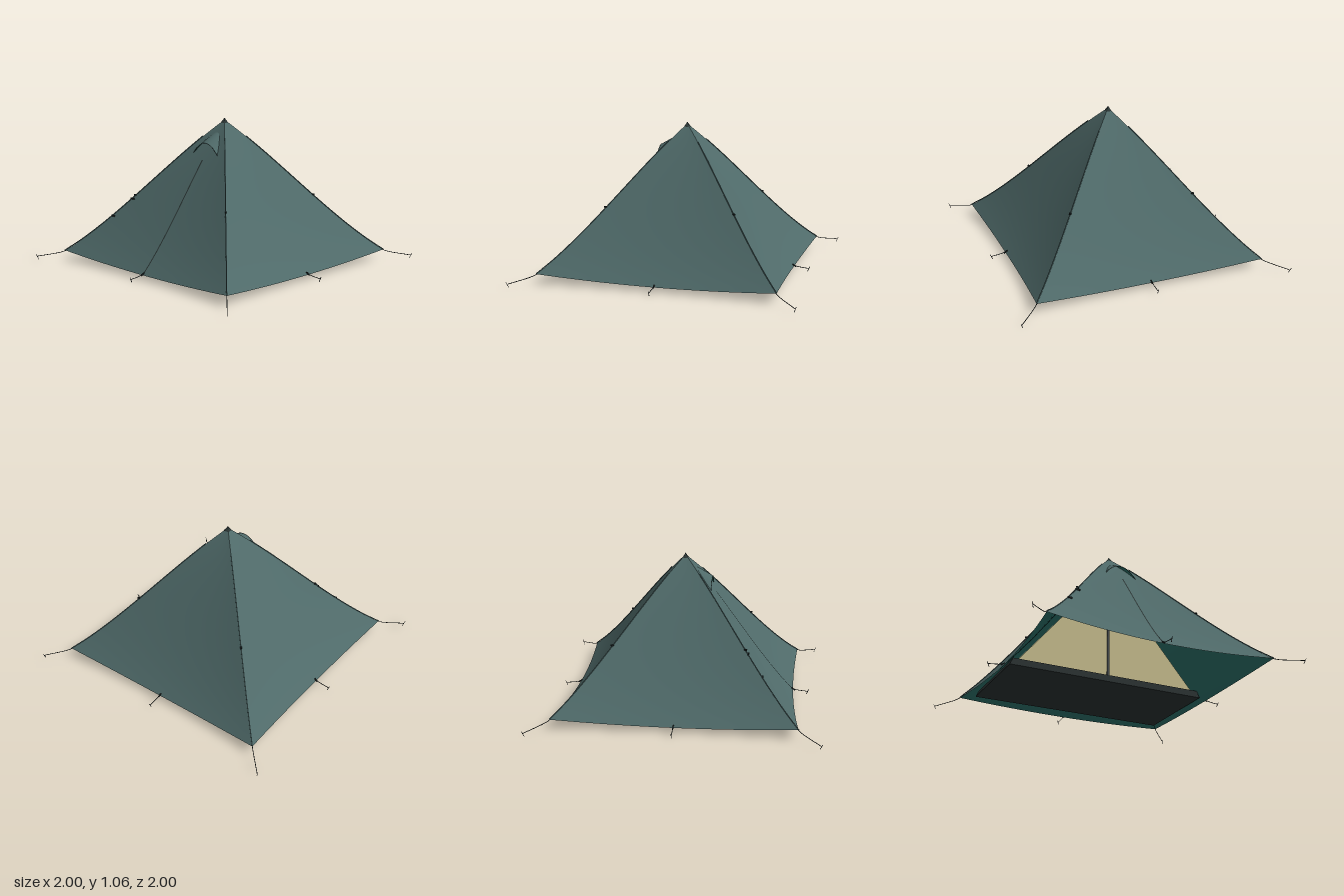
import * as THREE from 'three';

const mat = (name, color, side = THREE.FrontSide) => {
  const m = new THREE.MeshStandardMaterial({ color, side });
  m.name = name;
  return m;
};

const V = (x, y, z) => new THREE.Vector3(x, y, z);
const CORNER = 0.843;

// Point on the front panel: s runs across (-1..1), t runs from peak to hem (0..1)
function panelPoint(s, t, lift = 0) {
  const d = CORNER * t;
  const bow = 1 - s * s;
  const sag = 0.6 * d * (CORNER - d) * (d - 0.25) + 0.037 * t * t * bow;
  return V(s * (d + lift), 1.05 - 1.163 * d - sag + lift, d - 0.035 * t * bow + lift);
}

// Remaps a plane by a rule taking s (-1..1) and t (0 at the top edge, 1 at the bottom)
function sheet(cols, rows, rule) {
  const geo = new THREE.PlaneGeometry(2, 1, cols, rows);
  const p = geo.attributes.position;
  for (let i = 0; i < p.count; i++) {
    const v = rule(p.getX(i), 0.5 - p.getY(i));
    p.setXYZ(i, v.x, v.y, v.z);
  }
  geo.computeVertexNormals();
  return geo;
}

export function createModel() {
  const tent = new THREE.Group();
  tent.name = 'pyramidTent';

  const outer = mat('canopy grey green', 0x4f6a69);
  const lining = mat('lining teal', 0x2c736b);
  const seam = mat('seam dark green', 0x2b3635, THREE.DoubleSide);
  const dark = mat('fittings black', 0x1e2626, THREE.DoubleSide);
  const tub = mat('groundsheet charcoal', 0x2c3434);
  const sand = mat('inner tent sand', 0xc4bb8c, THREE.DoubleSide);
  const metal = mat('pole and peg grey', 0x4a5052, THREE.DoubleSide);

  const add = (parent, name, geo, material) => {
    const m = new THREE.Mesh(geo, material);
    m.name = name;
    parent.add(m);
    return m;
  };
  const tube = (parent, name, points, r, material, sides = 6) =>
    add(parent, name, new THREE.TubeGeometry(
      new THREE.CatmullRomCurve3(points), points.length * 4, r, sides), material);

  // Four identical sides: panel, ridge, corner guy and hem guy.
  // The lining is mirrored across s so that it faces inward.
  const panelGeo = sheet(20, 24, (s, t) => panelPoint(s, Math.max(t, 0.004)));
  const liningGeo = sheet(20, 24, (s, t) => panelPoint(-s, Math.max(t, 0.008), -0.0015));
  for (let i = 0; i < 4; i++) {
    const side = new THREE.Group();
    side.name = 'tentSide' + (i + 1);
    side.rotation.y = i * Math.PI / 2;
    tent.add(side);

    add(side, 'canopyPanel', panelGeo, outer);
    add(side, 'canopyLining', liningGeo, lining);

    const ridge = [];
    for (let k = 0; k <= 8; k++) ridge.push(panelPoint(1, 0.13 + 0.87 * k / 8, 0.002));
    tube(side, 'ridgeSeam', ridge, 0.0035, outer);

    // Corner guyline and peg
    tube(side, 'cornerGuyline',
      [V(0.838, 0.07, 0.838), V(0.87, 0.055, 0.87), V(0.99, 0.026, 0.99)], 0.0025, dark, 5);
    tube(side, 'cornerPeg', [V(0.984, 0.002, 0.984), V(0.998, 0.04, 0.998)], 0.002, metal, 5);

    // Hem strap, guyline and peg at the middle of the side
    tube(side, 'hemGuyline',
      [V(0, 0.05, 0.795), V(0, 0.036, 0.825), V(0, 0.03, 0.86), V(0, 0.024, 0.918)], 0.0025, dark, 5);
    tube(side, 'hemPeg', [V(0, 0.002, 0.908), V(0, 0.038, 0.924)], 0.0025, metal, 5);
    const strap = add(side, 'hemStrap', new THREE.BoxGeometry(0.008, 0.008, 0.03), dark);
    strap.position.set(0, 0.04, 0.81);
    strap.rotation.x = 0.6;

    // Guy loop halfway down the ridge
    const loop = add(side, 'ridgeLoop', new THREE.BoxGeometry(0.012, 0.01, 0.018), dark);
    loop.position.copy(panelPoint(1, 0.55, 0.004));
    loop.rotation.y = Math.PI / 4;
  }

  // Peak cap
  const cap = add(tent, 'peakCap', new THREE.ConeGeometry(0.028, 0.036, 4), seam);
  cap.rotation.y = Math.PI / 4;
  cap.position.y = 1.046;

  // Door zip: a thin ribbon down the middle of the front
  const zipGeo = sheet(1, 14, (s, t) => {
    const p = panelPoint(0, 0.28 + 0.72 * t, 0.002);
    return p.setX(0.005 * s);
  });
  add(tent, 'doorZip', zipGeo, seam);

  // Toggles that hold the door open
  for (const t of [0.575, 0.7]) {
    const toggle = add(tent, 'doorToggle', new THREE.BoxGeometry(0.034, 0.01, 0.01), dark);
    toggle.position.copy(panelPoint(-0.97, t, 0.004));
  }

  // Arched vent hood over the door, with a dark binding on its lip
  const hoodPoint = (s, v, drop = 0) =>
    V(0.128 * s * Math.pow(v, 0.6),
      0.976 - 0.17 * v + 0.089 * v * (1 - s * s) - drop, 0.054 + 0.144 * v);
  add(tent, 'ventHood', sheet(16, 10, (s, t) => hoodPoint(s, Math.max(t, 0.004))), outer);
  add(tent, 'ventHoodLining',
    sheet(16, 10, (s, t) => hoodPoint(-s, Math.max(t, 0.004), 0.002)), lining);
  const lip = [];
  for (let k = -4; k <= 4; k++) lip.push(hoodPoint(k / 4, 1));
  tube(tent, 'ventHoodLip', lip, 0.0015, seam, 5);

  // Tub groundsheet in the rear half, narrowing slightly upward
  const tubGeo = new THREE.BoxGeometry(1.52, 0.05, 0.72);
  const tp = tubGeo.attributes.position;
  for (let i = 0; i < tp.count; i++) {
    if (tp.getY(i) > 0) tp.setX(i, tp.getX(i) * 0.97);
  }
  tubGeo.computeVertexNormals();
  add(tent, 'groundsheetTub', tubGeo, tub).position.set(0, 0.075, -0.36);

  // Inner tent: half pyramid with an upright front wall
  const innerGeo = new THREE.ConeGeometry(Math.SQRT1_2, 1, 4, 1, true).toNonIndexed();
  innerGeo.rotateY(Math.PI / 4);
  innerGeo.scale(1.4, 0.85, 0.68);
  const ip = innerGeo.attributes.position;
  for (let i = 0; i < ip.count; i++) {
    if (ip.getY(i) > 0) ip.setZ(i, 0.325);
  }
  innerGeo.computeVertexNormals();
  add(tent, 'innerTent', innerGeo, sand).position.set(0, 0.519, -0.355);

  // Centre pole
  add(tent, 'centrePole', new THREE.CylinderGeometry(0.01, 0.01, 0.93, 10), metal)
    .position.set(0, 0.555, -0.012);

  return tent;
}
